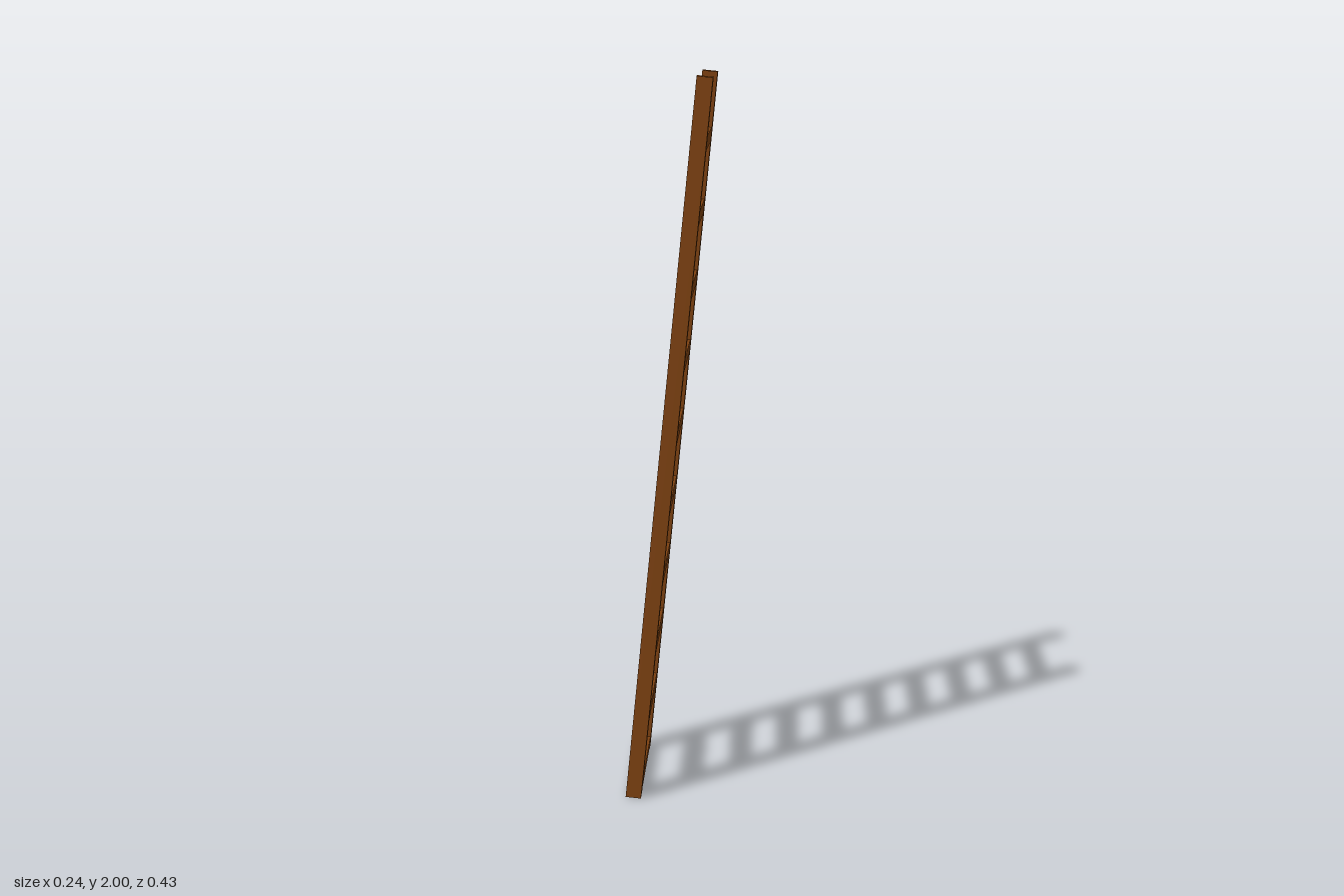
import * as THREE from 'three';

export function createModel() {
  const model = new THREE.Group();
  model.name = 'ladder';
  const wood = new THREE.MeshStandardMaterial({ color: 0x7f4210, flatShading: true });

  const LENGTH = 2.005, LEAN = 0.097;
  const RAIL_DEPTH = 0.043, RAIL_WIDTH = 0.0525, OUTER = 0.2155;
  const RUNGS = 10, RUNG = 0.041, SPACING = 0.2011;
  const INNER = OUTER - RAIL_WIDTH;

  // Built upright, then tilted as one piece
  const frame = new THREE.Group();
  frame.name = 'leaningFrame';
  frame.position.y = 1;
  frame.rotation.z = -LEAN;
  model.add(frame);

  const addBox = (name, w, h, d, y, z) => {
    const mesh = new THREE.Mesh(new THREE.BoxGeometry(w, h, d), wood);
    mesh.name = name;
    mesh.position.set(0, y, z);
    frame.add(mesh);
  };

  // Side rails
  for (const [name, side] of [['frontRail', 1], ['backRail', -1]]) {
    addBox(name, RAIL_DEPTH, LENGTH, RAIL_WIDTH, 0, side * (OUTER - RAIL_WIDTH / 2));
  }

  // Rungs, the lowest flush with the rail feet
  for (let i = 0; i < RUNGS; i++) {
    const y = -LENGTH / 2 + RUNG / 2 + i * SPACING;
    addBox(`rung${i + 1}`, RUNG, RUNG, 2 * INNER, y, 0);
  }

  return model;
}
